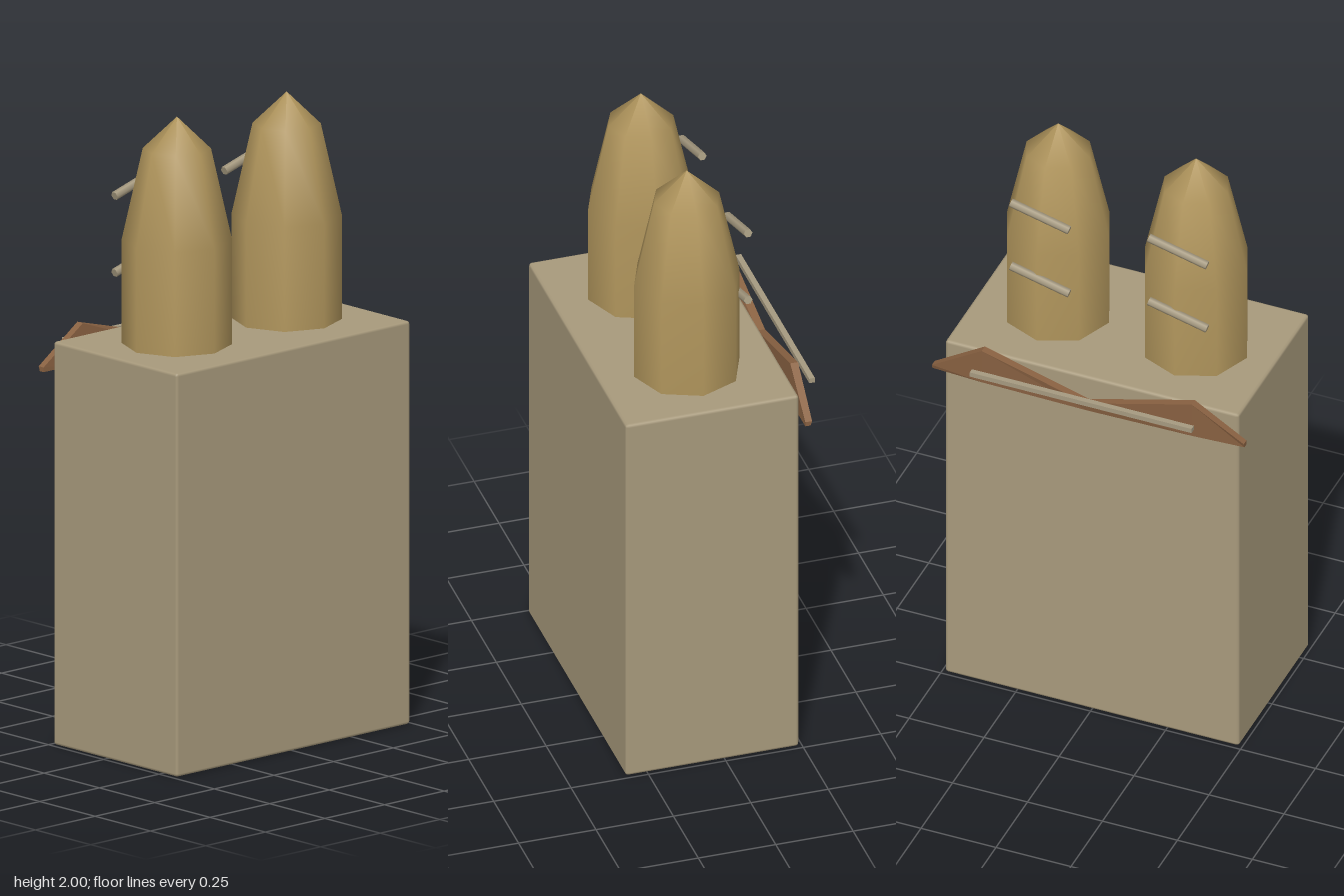
import * as THREE from 'three';
import { RoundedBoxGeometry } from 'three/addons/geometries/RoundedBoxGeometry.js';

const material = (color, flatShading = false) => new THREE.MeshStandardMaterial({ color, flatShading });

function part(name, geometry, mat, x, y, z) {
  const mesh = new THREE.Mesh(geometry, mat);
  mesh.name = name;
  mesh.position.set(x, y, z);
  return mesh;
}

// Four-cornered cross-sections joined along x, closed at both ends
function loft(sections) {
  const positions = sections.flat(2);
  const index = [];
  const last = (sections.length - 1) * 4;
  for (let i = 0; i < last; i += 4) {
    for (let k = 0; k < 4; k++) {
      const a = i + k, b = i + (k + 1) % 4;
      index.push(a, a + 4, b, b, a + 4, b + 4);
    }
  }
  index.push(0, 1, 2, 0, 2, 3, last, last + 2, last + 1, last, last + 3, last + 2);
  const geometry = new THREE.BufferGeometry();
  geometry.setAttribute('position', new THREE.Float32BufferAttribute(positions, 3));
  geometry.setIndex(index);
  const flat = geometry.toNonIndexed();
  flat.computeVertexNormals();
  return flat;
}

export function createModel() {
  const model = new THREE.Group();
  const stone = material(0xa89a7c);
  const spireMat = material(0xb0955c);
  const slatMat = material(0xa69a80);
  const wood = material(0x8a6242, true);

  // Main block with a fine bevel
  model.add(part('body', new RoundedBoxGeometry(0.98, 1.28, 0.56, 1, 0.01), stone, 0, 0.64, 0.04));

  // Eight-sided spires, each with two slanted slats behind
  const profile = [[0.17, 1.2], [0.17, 1.61], [0.105, 1.9], [0, 2]].map(p => new THREE.Vector2(...p));
  const spireGeo = new THREE.LatheGeometry(profile, 8);
  const slatGeo = new THREE.CylinderGeometry(0.014, 0.014, 0.2, 6).rotateZ(Math.PI / 2);
  for (const x of [-0.23, 0.23]) {
    model.add(part(x > 0 ? 'leftSpire' : 'rightSpire', spireGeo, spireMat, x, 0, 0.04));
    for (const y of [1.518, 1.762]) {
      const slat = part('slat', slatGeo, slatMat, x - 0.01 * Math.sign(x), y, -0.129);
      slat.position.x = x - 0.011;
      slat.rotation.set(0, 0.025, 0.27);
      model.add(slat);
    }
  }

  // Twin-peaked board at the back: x, top y, front z of the top, back z
  const stations = [
    [-0.52, 1.2, -0.25, -0.272], [-0.35, 1.31, -0.256, -0.281], [0, 1.215, -0.262, -0.287],
    [0.35, 1.31, -0.256, -0.281], [0.52, 1.2, -0.25, -0.272],
  ];
  const board = loft(stations.map(([x, top, front, back]) => [
    [x, 1.185, -0.25], [x, top, front], [x, top, back], [x, 1.185, back + 0.005],
  ]));
  model.add(part('backBoard', board, wood, 0, 0, 0));

  // Straight rail behind the board
  model.add(part('backRail', new THREE.BoxGeometry(0.74, 0.016, 0.018), slatMat, 0, 1.247, -0.32));
  return model;
}
